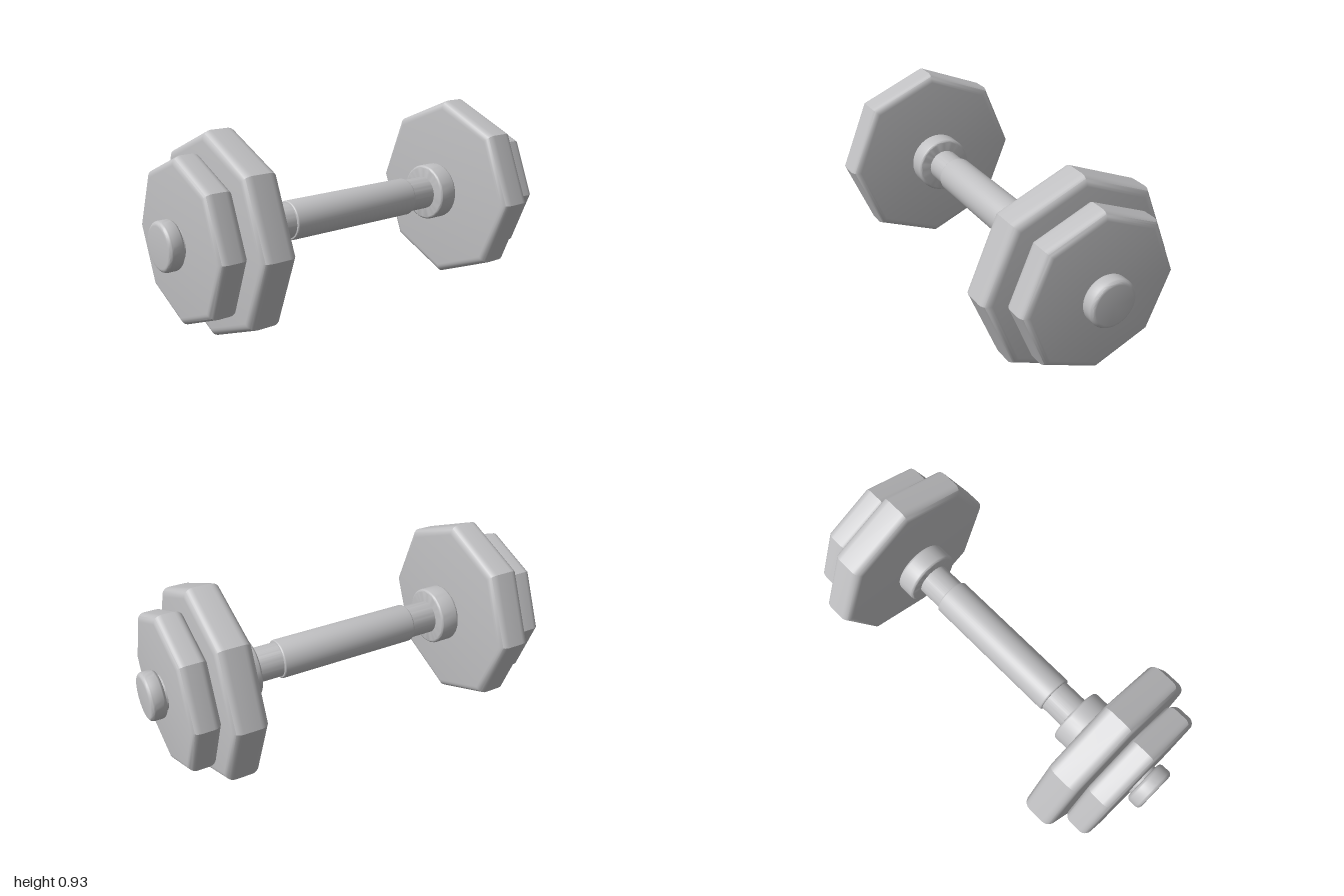
import * as THREE from 'three';
import { toCreasedNormals } from 'three/addons/utils/BufferGeometryUtils.js';

const AXIS_Y = 0.467;

// Solid of revolution along x from x0 to x1, with rounded rims
function roundedDisc(x0, x1, radius, bevel, sides, steps = 6) {
  const points = [new THREE.Vector2(0, x0)];
  for (let i = 0; i <= steps; i++) {
    const a = (i / steps) * Math.PI / 2;
    points.push(new THREE.Vector2(radius - bevel + bevel * Math.sin(a), x0 + bevel - bevel * Math.cos(a)));
  }
  for (let i = 0; i <= steps; i++) {
    const a = (i / steps) * Math.PI / 2;
    points.push(new THREE.Vector2(radius - bevel + bevel * Math.cos(a), x1 - bevel + bevel * Math.sin(a)));
  }
  points.push(new THREE.Vector2(0, x1));
  const geometry = new THREE.LatheGeometry(points, sides);
  geometry.rotateZ(-Math.PI / 2);
  return toCreasedNormals(geometry, Math.PI / 6);
}

export function createModel() {
  const model = new THREE.Group();
  model.name = 'dumbbell';
  const steel = new THREE.MeshStandardMaterial({ color: 0xc0c0c2 });
  steel.name = 'greySteel';

  const add = (name, geometry) => {
    const mesh = new THREE.Mesh(geometry, steel);
    mesh.name = name;
    mesh.position.y = AXIS_Y;
    model.add(mesh);
  };

  // Bar through the whole length, with a thicker grip in the middle
  add('bar', roundedDisc(-0.96, 0.96, 0.082, 0.005, 48, 2));
  add('grip', roundedDisc(-0.358, 0.358, 0.093, 0.008, 48, 3));

  // Collars, octagonal weights and end caps: [name, inner x, outer x, radius, bevel, sides]
  const parts = [
    ['collar', 0.49, 0.592, 0.141, 0.014, 48],
    ['largeWeight', 0.61, 0.773, 0.465, 0.042, 8],
    ['smallWeight', 0.783, 0.915, 0.375, 0.038, 8],
    ['endCap', 0.926, 1.0, 0.111, 0.02, 48],
  ];
  for (const [name, inner, outer, radius, bevel, sides] of parts) {
    add(name + 'Left', roundedDisc(inner, outer, radius, bevel, sides));
    add(name + 'Right', roundedDisc(-outer, -inner, radius, bevel, sides));
  }
  return model;
}
